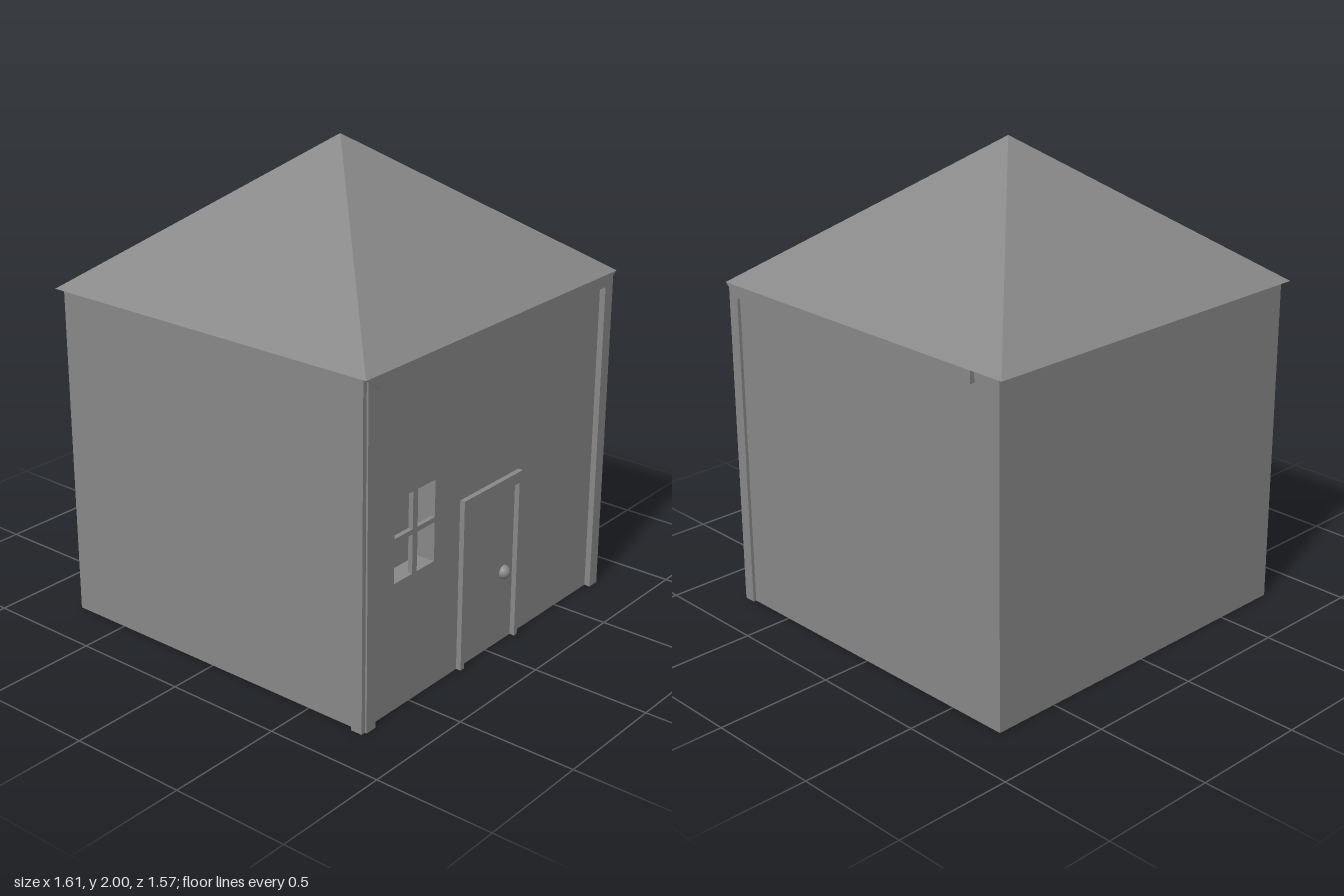
import * as THREE from 'three';

const mat = new THREE.MeshStandardMaterial({ color: 0x888888, flatShading: true });
const smooth = new THREE.MeshStandardMaterial({ color: 0x888888 });

const HALF_X = 0.787, WALL_Z = 0.755, EAVE = 1.405, RECESS = 0.08;

function add(group, name, geometry, material = mat) {
  const mesh = new THREE.Mesh(geometry, material);
  mesh.name = name;
  group.add(mesh);
  return mesh;
}

// Box given by its minimum and maximum corners
function box(group, name, [x0, y0, z0], [x1, y1, z1]) {
  add(group, name, new THREE.BoxGeometry(x1 - x0, y1 - y0, z1 - z0))
    .position.set((x0 + x1) / 2, (y0 + y1) / 2, (z0 + z1) / 2);
}

const shape = (points) => new THREE.Shape(points.map(([x, y]) => new THREE.Vector2(x, y)));
const extrude = (points, depth) =>
  new THREE.ExtrudeGeometry(shape(points), { depth, bevelEnabled: false });

export function createModel() {
  const house = new THREE.Group();
  house.name = 'house';

  // Main block, with a front wall slab opened for the window
  box(house, 'body', [-HALF_X, 0, -WALL_Z], [HALF_X, EAVE, WALL_Z - RECESS]);
  const wall = shape([[-HALF_X, 0], [HALF_X, 0], [HALF_X, EAVE], [-HALF_X, EAVE]]);
  wall.holes.push(shape([[-0.6, 0.535], [-0.6, 0.872], [-0.355, 0.872], [-0.355, 0.535]]));
  add(house, 'frontWall', new THREE.ExtrudeGeometry(wall, { depth: RECESS, bevelEnabled: false }))
    .position.z = WALL_Z - RECESS;

  // Window glazing bars
  const bars = new THREE.Group();
  bars.name = 'windowBars';
  box(bars, 'verticalBar', [-0.49, 0.535, WALL_Z - 0.02], [-0.462, 0.872, WALL_Z]);
  box(bars, 'leftBar', [-0.6, 0.698, WALL_Z - 0.02], [-0.49, 0.718, WALL_Z]);
  box(bars, 'rightBar', [-0.462, 0.698, WALL_Z - 0.02], [-0.355, 0.718, WALL_Z]);
  house.add(bars);

  // Hipped roof
  const roof = new THREE.ConeGeometry(Math.SQRT2, 2 - EAVE, 4);
  roof.rotateY(Math.PI / 4);
  roof.scale(0.806, 1, 0.785);
  add(house, 'roof', roof).position.y = (2 + EAVE) / 2;

  // Corner posts: one on the front and one on the side of each front corner
  for (const [label, s, outer] of [['left', 1, 0.8], ['right', -1, 0.806]]) {
    const span = (a, b) => [Math.min(s * a, s * b), Math.max(s * a, s * b)];
    const [f0, f1] = span(0.733, HALF_X);
    box(house, label + 'FrontPost', [f0, 0, WALL_Z], [f1, EAVE, 0.781]);
    const [p0, p1] = span(HALF_X, outer);
    box(house, label + 'SidePost', [p0, 0, 0.722], [p1, EAVE, 0.773]);
  }

  // Eave boards with mitred ends; the side board stops short of the back
  add(house, 'frontEaveBoard', extrude(
    [[-0.733, 1.354], [0.733, 1.354], [0.8, EAVE], [-0.8, EAVE]], 0.03)).position.z = WALL_Z;
  const sideBoard = extrude(
    [[-0.722, 1.354], [0.63, 1.354], [0.63, EAVE], [-0.783, EAVE]], 0.02);
  sideBoard.rotateY(Math.PI / 2);
  add(house, 'sideEaveBoard', sideBoard).position.x = HALF_X;

  // Door surround and knob
  add(house, 'doorFrame', extrude([[-0.195, 0], [-0.172, 0], [-0.172, 0.682], [0.172, 0.682],
    [0.172, 0], [0.192, 0], [0.192, 0.73], [-0.195, 0.73]], 0.022)).position.z = WALL_Z;
  add(house, 'doorKnob', new THREE.SphereGeometry(0.029, 24, 16), smooth)
    .position.set(0.11, 0.308, 0.757);

  return house;
}
